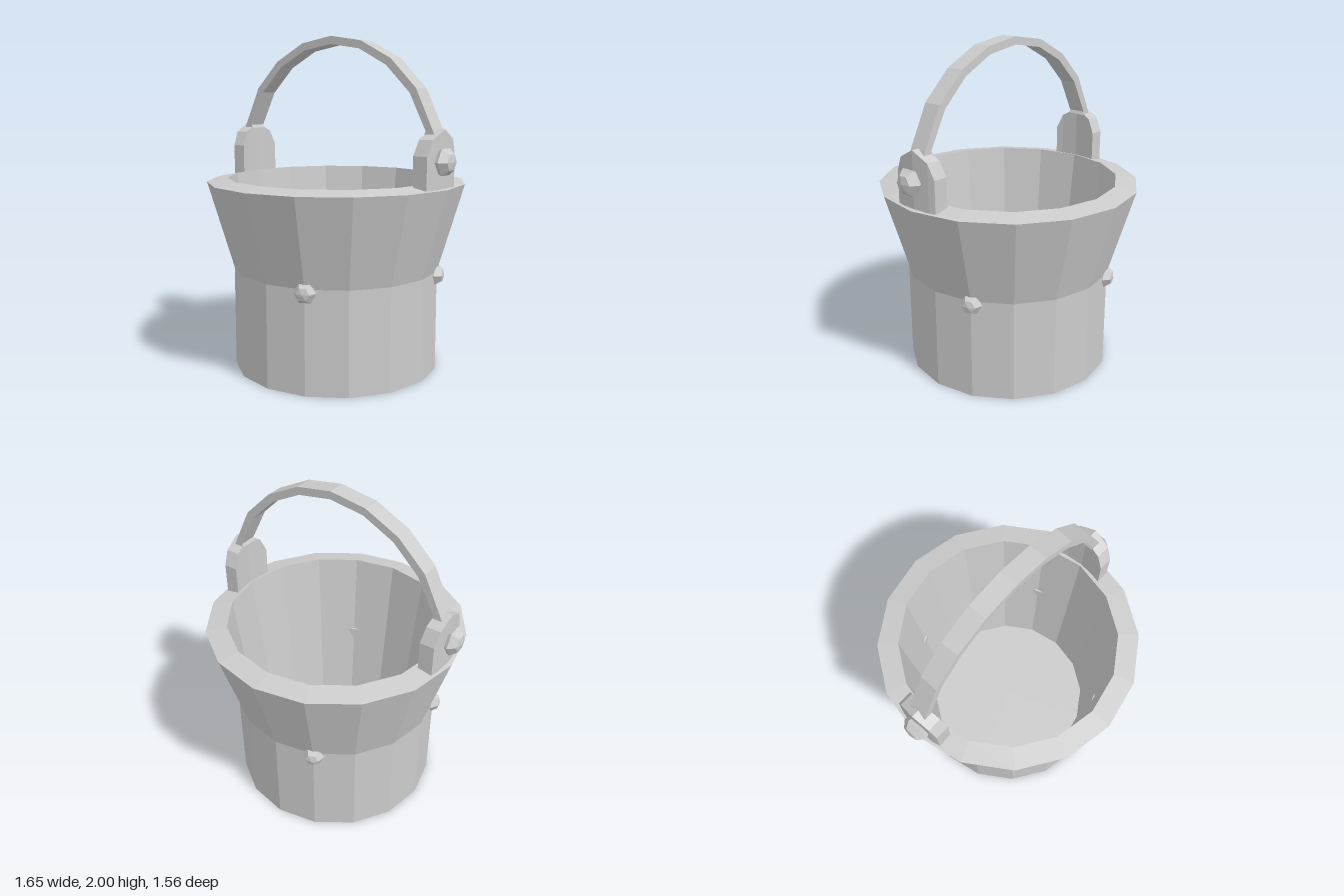
import * as THREE from 'three';

const material = new THREE.MeshStandardMaterial({ color: 0xcccccc, flatShading: true });

function part(name, geometry) {
  const flat = geometry.index ? geometry.toNonIndexed() : geometry;
  flat.computeVertexNormals();
  const mesh = new THREE.Mesh(flat, material);
  mesh.name = name;
  return mesh;
}

const lathe = (profile, sides) =>
  new THREE.LatheGeometry(profile.map(([r, y]) => new THREE.Vector2(r, y)), sides);

// Six-sided domed stud whose axis points along +x
function studGeometry(radius, depth) {
  return lathe([
    [0, 0], [radius * 0.8, 0], [radius, depth * 0.4], [radius * 0.6, depth * 0.88], [0, depth],
  ], 6).rotateZ(-Math.PI / 2);
}

// Upright lug with a peaked top, bowed slightly to follow the rim
function lugGeometry() {
  const columns = [[-0.147, 1.33], [-0.106, 1.417], [0, 1.473], [0.106, 1.417], [0.147, 1.33]];
  const geometry = new THREE.BoxGeometry(0.087, 1, 4, 1, 1, 4);
  const p = geometry.attributes.position;
  for (let i = 0; i < p.count; i++) {
    const [z, top] = columns[Math.round(p.getZ(i) + 2)];
    const bow = 0.02 * (1 - (z / 0.147) ** 2);
    p.setXYZ(i, p.getX(i) + 0.692 + bow, p.getY(i) > 0 ? top : 1.14, z);
  }
  return geometry;
}

// Flat band arching over the opening
function handleGeometry() {
  const outer = [[0.722, 1.44], [0.71, 1.47], [0.6, 1.695], [0.43, 1.86], [0.222, 1.965], [0, 2]];
  const inner = [[0.657, 1.44], [0.667, 1.46], [0.56, 1.668], [0.4, 1.823], [0.21, 1.92], [0, 1.953]];
  const arch = (half) => [...half, ...half.slice(0, -1).reverse().map(([x, y]) => [-x, y])];
  const outline = [...arch(outer), ...arch(inner).reverse()];
  const shape = new THREE.Shape(outline.map(([x, y]) => new THREE.Vector2(x, y)));
  return new THREE.ExtrudeGeometry(shape, { depth: 0.11, bevelEnabled: false }).translate(0, 0, -0.055);
}

export function createModel() {
  const group = new THREE.Group();
  group.name = 'bucket';

  // Body: straight base, flared top, sloping rim, tapered inside and floor
  group.add(part('body', lathe([
    [0, 0], [0.627, 0], [0.627, 0.61], [0.782, 1.14], [0.655, 1.163], [0.53, 0.05], [0, 0.05],
  ], 16)));

  group.add(part('handle', handleGeometry()));

  // Lugs and their pivot studs on both sides
  for (const side of [1, -1]) {
    const name = side > 0 ? 'left' : 'right';
    const lug = part(name + 'Lug', lugGeometry());
    if (side < 0) lug.rotation.y = Math.PI;
    const pivot = part(name + 'PivotStud', studGeometry(0.085, 0.085));
    pivot.position.set(side * 0.738, 1.295, 0.015);
    if (side < 0) pivot.rotation.y = Math.PI;
    group.add(lug, pivot);
  }

  // Four studs around the waist
  for (let i = 0; i < 4; i++) {
    const angle = Math.PI / 8 + i * Math.PI / 2;
    const stud = part('waistStud', studGeometry(0.066, 0.085));
    stud.position.set(0.587 * Math.cos(angle), 0.59, 0.587 * Math.sin(-angle));
    stud.rotation.y = angle;
    group.add(stud);
  }
  return group;
}
